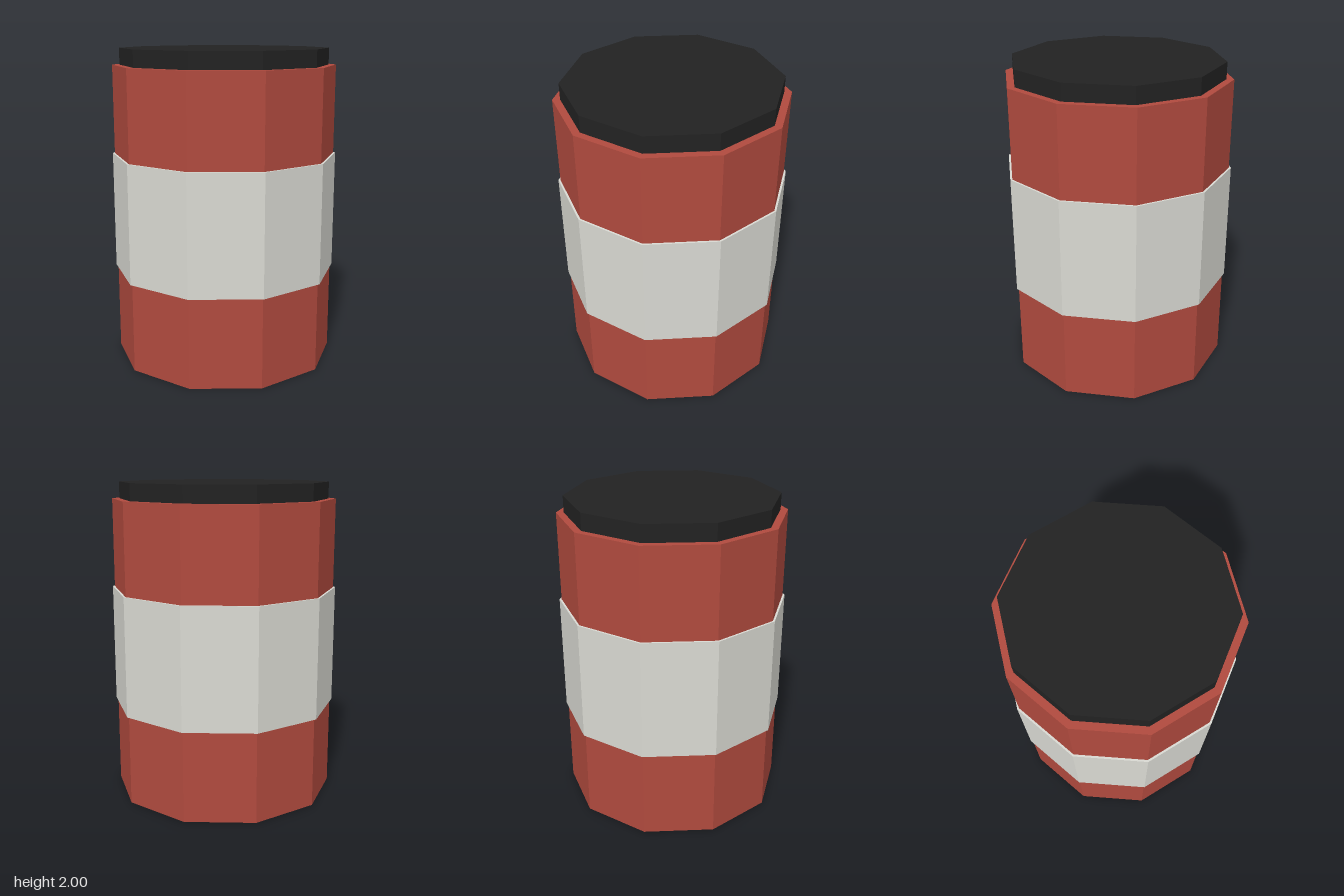
import * as THREE from 'three';

const SIDES = 10;

export function createModel() {
  const group = new THREE.Group();
  const material = (name, color) => {
    const m = new THREE.MeshStandardMaterial({ color, flatShading: true });
    m.name = name;
    return m;
  };

  // Ten-sided drum section with corners on the x axis
  const drum = (name, radius, bottom, top, mat) => {
    const height = top - bottom;
    const geometry = new THREE.CylinderGeometry(radius, radius, height, SIDES, 1, false, Math.PI / 2);
    const mesh = new THREE.Mesh(geometry, mat);
    mesh.name = name;
    mesh.position.y = bottom + height / 2;
    group.add(mesh);
  };

  drum('canBody', 0.71, 0, 1.895, material('red', 0xb04a3e));
  drum('labelBand', 0.723, 0.573, 1.33, material('offWhite', 0xd9d9d2));
  drum('lid', 0.663, 1.895, 2, material('black', 0x222222));

  return group;
}
